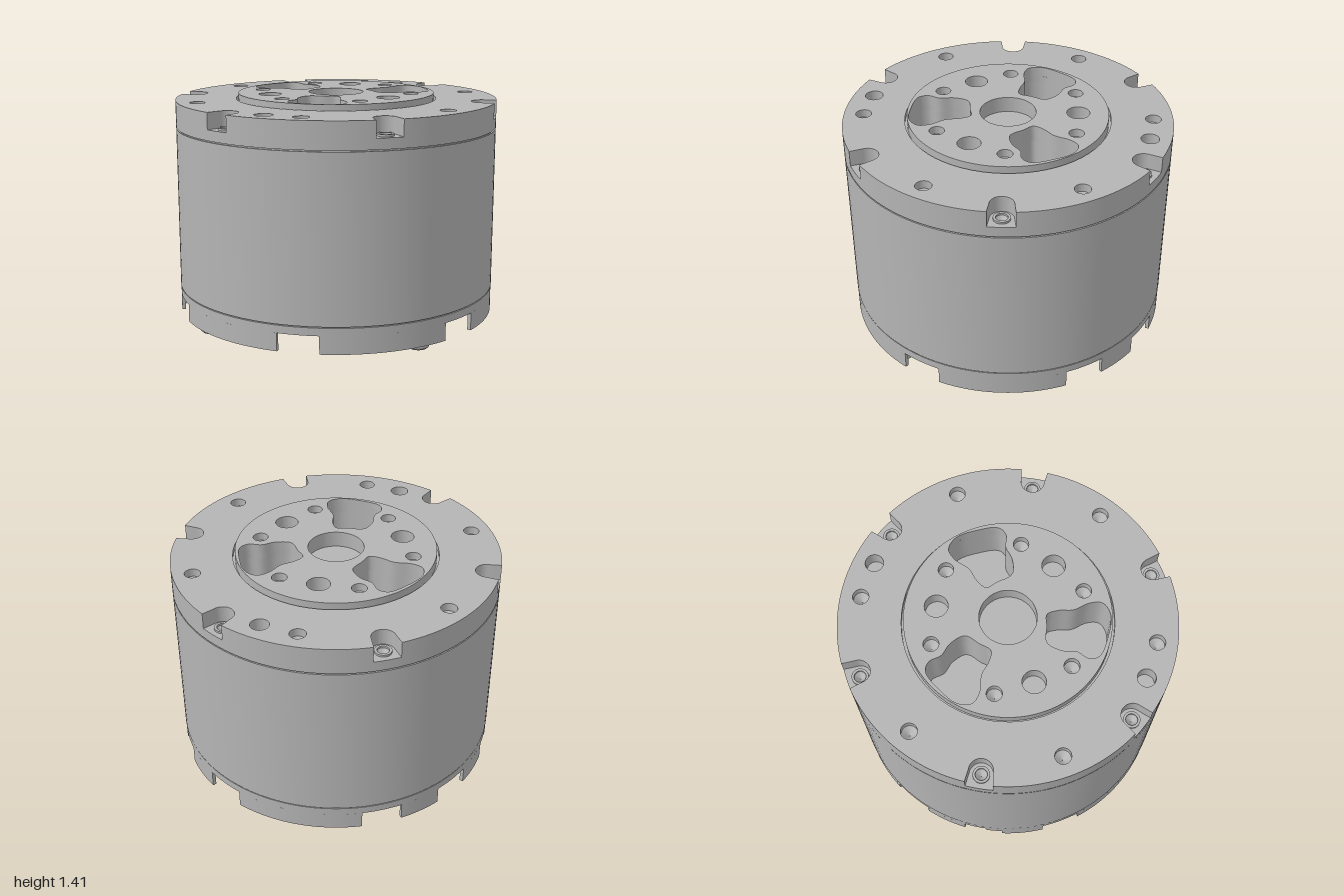
import * as THREE from 'three';
import { toCreasedNormals } from 'three/addons/utils/BufferGeometryUtils.js';

const rad = THREE.MathUtils.degToRad;
const TAU = Math.PI * 2;
// Point at radius r, angle a (degrees, from +x towards +z), shifted t sideways
const polar = (r, a, t = 0) => {
  const c = Math.cos(rad(a)), s = Math.sin(rad(a));
  return new THREE.Vector2(r * c - t * s, r * s + t * c);
};
const every = (start, step, count) => Array.from({ length: count }, (_, i) => start + i * step);

export function createModel() {
  const root = new THREE.Group();
  root.name = 'motorHousing';
  const metal = new THREE.MeshStandardMaterial({ color: 0xb4b4b4 });
  metal.name = 'brushedGrey';

  const add = (name, geometry, x = 0, y = 0, z = 0) => {
    const mesh = new THREE.Mesh(toCreasedNormals(geometry, 0.5), metal);
    mesh.name = name;
    mesh.position.set(x, y, z);
    root.add(mesh);
    return mesh;
  };
  const lathe = (points, segments = 32) =>
    new THREE.LatheGeometry(points.map(([x, y]) => new THREE.Vector2(x, y)), segments);
  // Flat plan shape (x, z) made into a slab between two heights
  const slab = (name, shape, bottom, top, curveSegments = 32) => {
    const g = new THREE.ExtrudeGeometry(shape, { depth: top - bottom, bevelEnabled: false, curveSegments });
    g.rotateX(Math.PI / 2);
    return add(name, g, 0, top, 0);
  };
  const circle = (r, c = new THREE.Vector2()) => {
    const s = new THREE.Shape();
    s.absarc(c.x, c.y, r, 0, TAU, false);
    return s;
  };
  const arcBand = (inner, outer, from, to) => {
    const s = new THREE.Shape();
    s.absarc(0, 0, outer, rad(from), rad(to), false);
    s.absarc(0, 0, inner, rad(to), rad(from), true);
    s.closePath();
    return s;
  };
  const pit = (name, p, y, r, depth) => add(name, lathe([[r, 0], [0, -depth]], 24), p.x, y, p.y);

  // Barrel with its underside, central bore and shallow seam grooves
  add('barrel', lathe([
    [0, 1.0], [0.28, 1.0], [0.28, 0.185], [0.845, 0.185], [0.845, 0.19], [0.99, 0.19],
    [0.99, 0.205], [1, 0.205], [1, 1.208], [0.99, 1.208], [0.99, 1.216],
  ], 128));

  // Top flange: full lower ring, upper ring cut by six screw notches
  const notchAngles = every(-135, 60, 6);
  const lower = circle(1);
  lower.holes.push(circle(0.625));
  notchAngles.forEach(a => lower.holes.push(circle(0.035, polar(0.92, a))));
  slab('flangeBase', lower, 1.216, 1.28, 96);

  const upper = new THREE.Shape();
  const half = Math.asin(0.08);
  notchAngles.forEach((a, i) => {
    const c = polar(0.92, a), q = polar(0.92, a, -0.07), out = polar(Math.cos(half), a, -0.08);
    if (i === 0) upper.moveTo(out.x, out.y);
    upper.lineTo(q.x, q.y);
    upper.absarc(c.x, c.y, 0.07, rad(a - 90), rad(a + 90), true);
    upper.absarc(0, 0, 1, rad(a) + half, rad(a + 60) - half, false);
  });
  upper.holes.push(circle(0.625));
  const flangeHoles = every(-105, 60, 6).map(a => polar(0.88, a));
  flangeHoles.forEach(p => upper.holes.push(circle(0.048, p)));
  [-30, 150].forEach(a => upper.holes.push(circle(0.055, polar(0.875, a))));
  slab('flangeTop', upper, 1.28, 1.38);
  flangeHoles.forEach(p => pit('flangeHoleFloor', p, 1.33, 0.048, 0.045));

  // Socket screws sitting in the notches
  notchAngles.forEach(a => {
    const p = polar(0.92, a);
    add('flangeScrew', lathe([[0.05, 0], [0.05, 0.012], [0.035, 0.012], [0.035, 0]], 24), p.x, 1.28, p.y);
    pit('screwSocket', p, 1.28, 0.035, 0.035);
  });

  // Output disc: upper layer with every hole, lower layer with the deep pockets
  const pocket = [
    [0, -0.58], [0.04, -0.53], [0.03, -0.45], [0.06, -0.37], [0.05, -0.27], [-0.04, -0.23], [-0.11, -0.2],
    [-0.16, -0.25], [-0.2, -0.33], [-0.28, -0.4], [-0.31, -0.47], [-0.26, -0.54], [-0.14, -0.575],
  ].map(([x, z]) => new THREE.Vector3(x, z, 0));
  const pocketCurve = new THREE.CatmullRomCurve3(pocket, true).getPoints(60).slice(0, -1);
  const pockets = [0, 120, 240].map(a => new THREE.Path(
    pocketCurve.map(v => new THREE.Vector2(v.x, v.y).rotateAround(new THREE.Vector2(), rad(a)))));
  const discTop = circle(0.61);
  const discBase = circle(0.61);
  discTop.holes.push(...pockets, circle(0.17));
  discBase.holes.push(...pockets);
  const discHoles = every(-135, 60, 6).map(a => polar(0.475, a));
  discHoles.forEach(p => discTop.holes.push(circle(0.046, p)));
  every(-45, 120, 3).forEach(a => discTop.holes.push(circle(0.07, polar(0.425, a))));
  slab('outputDisc', discTop, 1.315, 1.415, 64);
  slab('outputDiscBase', discBase, 1.1, 1.315, 64);
  slab('pocketFloor', circle(0.62), 1.05, 1.1, 64);
  discHoles.forEach(p => pit('discHoleFloor', p, 1.365, 0.046, 0.045));
  add('discSeal', lathe([[0.63, 1.35], [0.6, 1.35]], 96));

  // Bottom skirt: thin collar with teeth between the cut-outs
  const cuts = [-165, -135, -105, -75, -15, 15, 75, 135];
  const collar = circle(0.998);
  collar.holes.push(circle(0.975));
  slab('skirtCollar', collar, 0.15, 0.198, 96);
  cuts.forEach((a, i) => {
    const next = i + 1 < cuts.length ? cuts[i + 1] : cuts[0] + 360;
    slab('skirtTooth', arcBand(0.975, 0.998, a + 7.2, next - 7.2), 0.04, 0.15, 28);
  });
  slab('steppedCutOut', arcBand(0.975, 0.998, -142.2, -136), 0.11, 0.15, 8);

  // Screw bushings under the cut-outs
  cuts.forEach(a => {
    const p = polar(0.91, a);
    add('bottomBushing', lathe([[0.03, 0.19], [0.03, 0.17], [0.058, 0.17], [0.058, 0.19]], 24), p.x, 0, p.y);
  });

  // Two hollow feet on slim posts
  [90, 180].forEach(a => {
    const p = polar(0.9, a);
    add('foot', lathe([
      [0, 0.03], [0.035, 0.03], [0.035, 0], [0.055, 0], [0.067, 0.012], [0.067, 0.04], [0.03, 0.04], [0.03, 0.19],
    ], 32), p.x, 0, p.y);
  });

  // Locating pins and their matching collars on the underside
  [-5, 85, 175, 265].forEach((a, i) => {
    const p = polar(0.66, a);
    add('pinCollar', lathe([[0, 0.181], [0.038, 0.181], [0.038, 0.186]], 24), p.x, 0, p.y);
    if (i === 1 || i === 2) add('locatingPin', lathe([[0, 0.09], [0.027, 0.09], [0.027, 0.186]], 24), p.x, 0, p.y);
  });
  return root;
}
